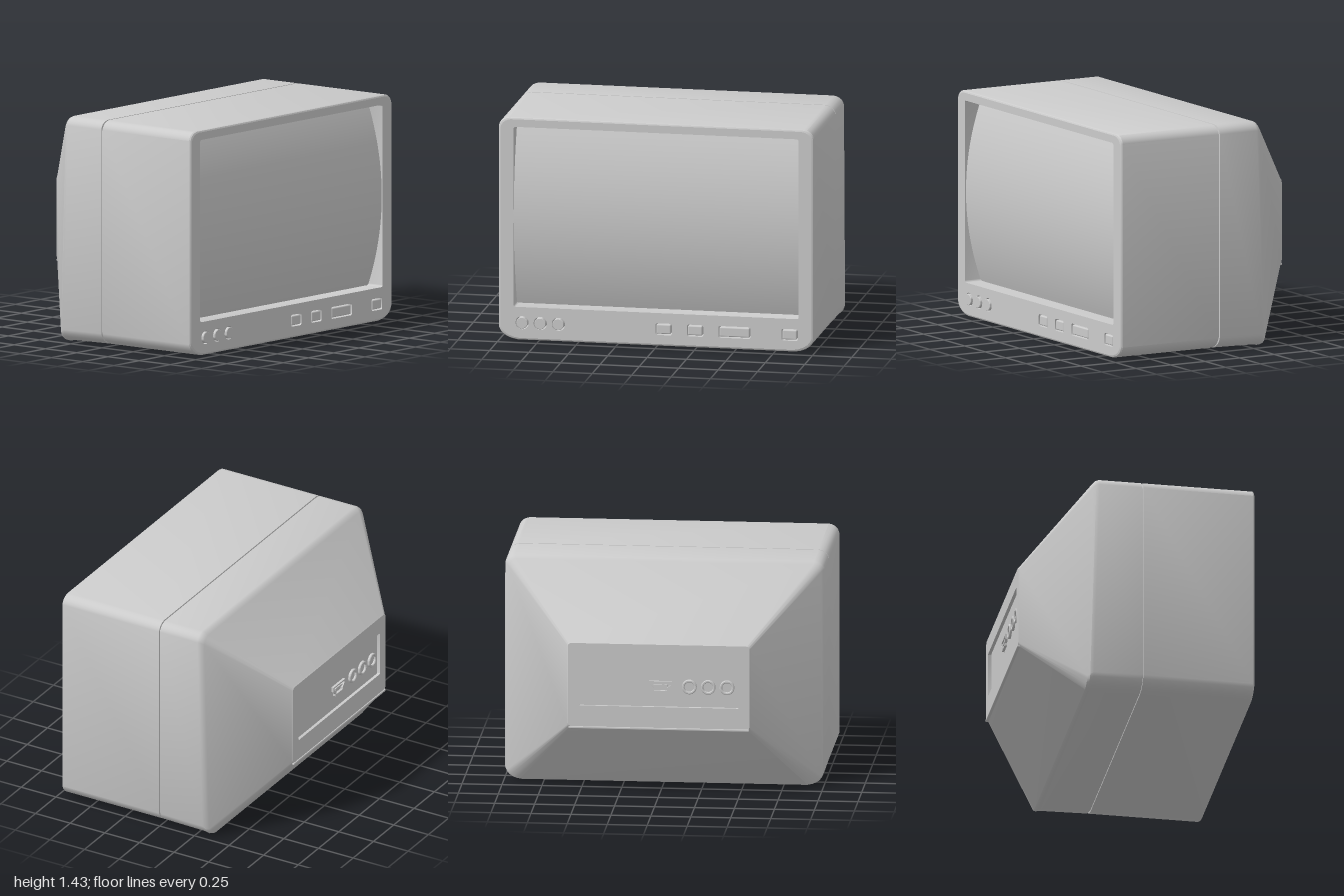
import * as THREE from 'three';
import { toCreasedNormals } from 'three/addons/utils/BufferGeometryUtils.js';
import { RoundedBoxGeometry } from 'three/addons/geometries/RoundedBoxGeometry.js';

const material = new THREE.MeshStandardMaterial({ color: 0xcccccc });
const FRONT = 0.71, BACK = -0.71;

// Rounded-chamfer outline, counter-clockwise; top and bot are [cx, cy] corner cuts
function outline(w, y0, y1, top, bot) {
  const corners = [
    [w, y0, bot, [-1, 0], [0, 1]], [w, y1, top, [0, -1], [-1, 0]],
    [-w, y1, top, [1, 0], [0, -1]], [-w, y0, bot, [0, 1], [1, 0]],
  ];
  const pts = [];
  for (const [x, y, c, from, to] of corners) {
    const a = new THREE.Vector2(x + from[0] * c[0], y + from[1] * c[1]);
    const b = new THREE.Vector2(x + to[0] * c[0], y + to[1] * c[1]);
    const ctrl = new THREE.Vector2(x, y).lerp(a.clone().add(b).multiplyScalar(0.5), 0.3);
    pts.push(...new THREE.QuadraticBezierCurve(a, ctrl, b).getPoints(5));
  }
  return pts;
}

const bodyOutline = (inset, y0 = 0.01) =>
  outline(1 - inset, y0 + inset, 1.43 - inset, [0.065, 0.055], [0.12, 0.08]);
const backOutline = (inset) =>
  outline(0.575 - inset, 0.43 + inset, 0.975 - inset, [0.02, 0.02], [0.02, 0.02]);

// Skin running front to back through rings of equal point count
function loft(rings) {
  const n = rings[0].length, pos = [], idx = [];
  for (const ring of rings) for (const p of ring) pos.push(p.x, p.y, p.z);
  for (let i = 0; i < rings.length - 1; i++) {
    for (let j = 0; j < n; j++) {
      const a = i * n + j, b = i * n + (j + 1) % n;
      idx.push(a, a + n, b, b, a + n, b + n);
    }
  }
  const g = new THREE.BufferGeometry();
  g.setAttribute('position', new THREE.Float32BufferAttribute(pos, 3));
  g.setIndex(idx);
  return toCreasedNormals(g, 0.55);
}

const at = (pts, z) =>
  pts.map((p) => new THREE.Vector3(p.x, p.y, typeof z === 'function' ? z(p.y) : z));

const rectPath = (x0, x1, y0, y1, r) =>
  new THREE.Path(outline((x1 - x0) / 2, y0, y1, [r, r], [r, r])
    .map((p) => p.add(new THREE.Vector2((x0 + x1) / 2, 0))));

// Plate with holes, its near face at z + depth
function plate(points, holes, depth, z) {
  const shape = new THREE.Shape(points);
  shape.holes.push(...holes);
  const g = new THREE.ExtrudeGeometry(shape, { depth, bevelEnabled: false, curveSegments: 24 });
  return toCreasedNormals(g.translate(0, 0, z), 0.55);
}

// Turned part whose axis points along +z
function turned(profile) {
  const g = new THREE.LatheGeometry(profile.map(([r, h]) => new THREE.Vector2(r, h)), 32);
  return toCreasedNormals(g.rotateX(Math.PI / 2), 0.5);
}

export function createModel() {
  const model = new THREE.Group();
  const add = (name, geometry, x = 0, y = 0, z = 0, parent = model) => {
    const mesh = new THREE.Mesh(geometry, material);
    mesh.name = name;
    mesh.position.set(x, y, z);
    parent.add(mesh);
    return mesh;
  };

  // Casing: soft front edge, seam groove, straight rear half, tapered back
  add('casing', loft([
    at(bodyOutline(0.012), FRONT),
    at(bodyOutline(0.004), FRONT - 0.004),
    at(bodyOutline(0), FRONT - 0.012),
    at(bodyOutline(0), 0.005),
    at(bodyOutline(0.008), 0.004),
    at(bodyOutline(0.008), -0.004),
    at(bodyOutline(0), -0.005),
    at(bodyOutline(0, 0.004), (y) => -0.31 + 0.04 * y / 1.43),
    at(outline(0.993, 0.001, 1.423, [0.06, 0.05], [0.1, 0.07]), (y) => -0.332 + 0.042 * y / 1.43),
    at(outline(0.978, 0.006, 1.405, [0.05, 0.045], [0.08, 0.06]), (y) => -0.347 + 0.039 * y / 1.43),
    at(backOutline(0), BACK + 0.008),
    at(backOutline(0.006), BACK),
  ]));

  // Front bezel with openings for the screen, knobs and keys
  const knobs = [-0.85, -0.735, -0.62];
  const keys = [[-0.005, 0.1], [0.195, 0.3], [0.395, 0.6], [0.795, 0.9]];
  const holes = [rectPath(-0.905, 0.905, 0.22, 1.37, 0.012)];
  for (const x of knobs) {
    holes.push(new THREE.Path().absarc(x, 0.12, 0.042, 0, Math.PI * 2, true));
  }
  for (const [x0, x1] of keys) holes.push(rectPath(x0, x1, 0.08, 0.155, 0.012));
  add('bezel', plate(bodyOutline(0.012), holes, 0.14, FRONT - 0.14));

  // Screen bowed outward between its top and bottom edges
  const screen = new THREE.PlaneGeometry(1.82, 1.16, 1, 32);
  const p = screen.attributes.position;
  for (let i = 0; i < p.count; i++) p.setZ(i, -0.11 * (p.getY(i) / 0.575) ** 2);
  screen.computeVertexNormals();
  add('screen', screen, 0, 0.795, FRONT - 0.008);

  // Knobs and keys
  const knob = turned([[0.036, -0.08], [0.036, 0.008], [0.033, 0.011], [0, 0.011]]);
  for (const x of knobs) add('knob', knob, x, 0.12, FRONT);
  for (const [x0, x1] of keys) {
    add('key', new RoundedBoxGeometry(x1 - x0 - 0.014, 0.061, 0.06, 2, 0.008),
      (x0 + x1) / 2, 0.1175, FRONT - 0.03);
  }

  // Rear face with its recessed connector panel and lower lip
  add('rearFace', plate(backOutline(0.006), [rectPath(-0.5, 0.5, 0.57, 0.86, 0.006)], 0.04, BACK));
  add('connectorPanel', new THREE.BoxGeometry(1.02, 0.31, 0.02), 0, 0.715, BACK + 0.03);
  add('rearLip', new RoundedBoxGeometry(1.13, 0.014, 0.02, 2, 0.004), 0, 0.43, BACK + 0.004);

  // Connectors, facing backwards
  const connectors = new THREE.Group();
  connectors.name = 'connectors';
  connectors.position.set(0, 0.7, BACK + 0.02);
  connectors.rotation.y = Math.PI;
  model.add(connectors);
  const socket = turned([[0.046, 0], [0.046, 0.012], [0.042, 0.016], [0.034, 0.016],
    [0.03, 0.012], [0.03, 0.002], [0, 0.002]]);
  for (const x of [0.19, 0.308, 0.426]) add('roundSocket', socket, x, 0, 0, connectors);

  const flared = (s) => [[-0.05, -0.036], [0.05, -0.036], [0.05, -0.02], [0.072, 0],
    [0.072, 0.034], [-0.072, 0.034], [-0.072, 0], [-0.05, -0.02]]
    .map(([x, y]) => new THREE.Vector2(x - Math.sign(x) * s, y - Math.sign(y || -1) * s));
  add('flatSocket', plate(flared(0), [new THREE.Path(flared(0.01))], 0.016, 0), 0.01, 0, 0, connectors);
  add('flatSocketTongue', new THREE.BoxGeometry(0.09, 0.012, 0.012), 0.01, 0.006, 0.006, connectors);

  return model;
}
